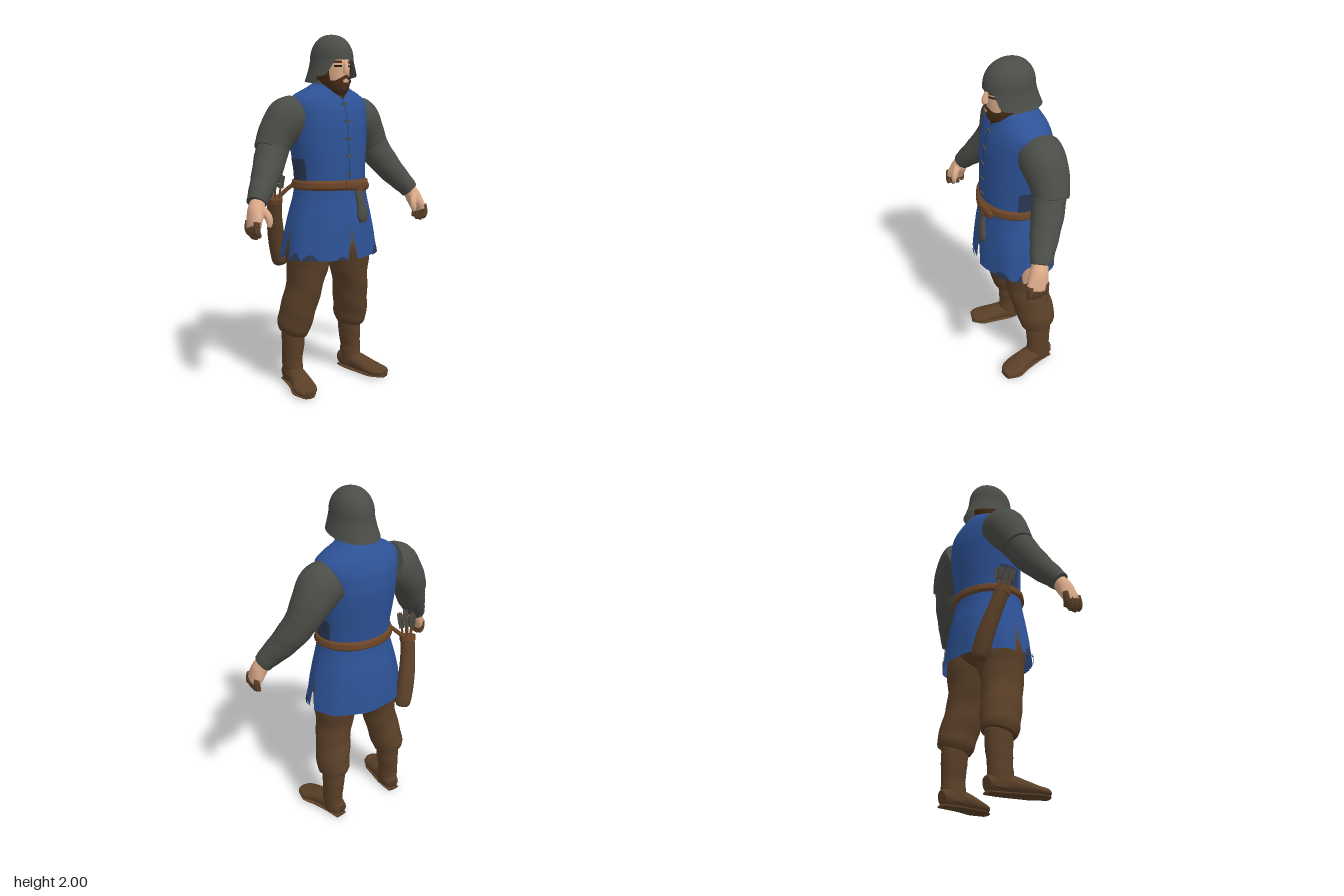
import * as THREE from 'three';
import { mergeVertices } from 'three/addons/utils/BufferGeometryUtils.js';

const PI = Math.PI;
const V = (x, y, z) => new THREE.Vector3(x, y, z);
const paint = (name, color, side = THREE.FrontSide) => {
  const m = new THREE.MeshStandardMaterial({ color, side });
  m.name = name;
  return m;
};

// Smooth blend through rows of numbers, t in 0..1
function blend(rows, t) {
  const f = t * (rows.length - 1), i = Math.min(Math.floor(f), rows.length - 2), k = f - i;
  const at = (j) => rows[Math.max(0, Math.min(rows.length - 1, j))];
  return rows[0].map((_, c) => {
    const a = at(i - 1)[c], b = at(i)[c], d = at(i + 1)[c], e = at(i + 2)[c];
    return b + 0.5 * k * (d - a + k * (2 * a - 5 * b + 4 * d - e + k * (3 * (b - d) + e - a)));
  });
}

// Smooth surface from a function of u, v in 0..1
function grid(f, nu, nv) {
  const pos = [], idx = [], w = nu + 1;
  for (let j = 0; j <= nv; j++) for (let i = 0; i <= nu; i++) pos.push(...f(i / nu, j / nv).toArray());
  for (let j = 0; j < nv; j++) for (let i = 0; i < nu; i++) {
    const a = j * w + i;
    idx.push(a, a + 1, a + w + 1, a, a + w + 1, a + w);
  }
  const g = new THREE.BufferGeometry();
  g.setAttribute('position', new THREE.Float32BufferAttribute(pos, 3));
  g.setIndex(idx);
  const m = mergeVertices(g, 1e-5);
  m.computeVertexNormals();
  return m;
}

// Capped limb through sections [x, y, z, radius across, radius along ref]
function loft(rows, ref = V(0, 0, 1), wrinkle = 0, nu = 20, nv = 22) {
  const centre = (t) => V(...blend(rows, t).slice(0, 3));
  return grid((u, v) => {
    const t = Math.max(0, Math.min(1, (v * nv - 1) / (nv - 2)));
    const r = blend(rows, t), cap = v === 0 || v === 1 ? 0 : 1, a = (u === 1 ? 0 : u) * 2 * PI;
    const T = centre(Math.min(1, t + 0.01)).sub(centre(Math.max(0, t - 0.01))).normalize();
    const P = T.clone().cross(ref).normalize(), Q = P.clone().cross(T);
    const k = cap * (1 + wrinkle * Math.sin(t * 26 + 2 * Math.sin(a)));
    return V(r[0], r[1], r[2]).addScaledVector(P, Math.sin(a) * r[3] * k).addScaledVector(Q, Math.cos(a) * r[4] * k);
  }, nu, nv);
}

// Upright body surface from rows [y, half width, front z, back z], lowest first
function body(rows) {
  return (a, y, off = 0) => {
    let i = 0;
    while (i < rows.length - 2 && y > rows[i + 1][0]) i++;
    const k = (y - rows[i][0]) / (rows[i + 1][0] - rows[i][0]);
    const [rx, zf, zb] = [1, 2, 3].map((c) => rows[i][c] + (rows[i + 1][c] - rows[i][c]) * k);
    return V((rx + off) * Math.sin(a), y, (zf + zb) / 2 + ((zf - zb) / 2 + off) * Math.cos(a));
  };
}
const patch = (s, a0, a1, y0, y1, off = 0, nu = 40, nv = 16) =>
  grid((u, v) => s(a0 + (a1 - a0) * u, y0 + (y1 - y0) * v, off), nu, nv);

export function createModel() {
  const model = new THREE.Group();
  const D = THREE.DoubleSide;
  const blue = paint('tunic blue', 0x2d5296, D), navy = paint('dark blue', 0x2b3a56, D);
  const grey = paint('dull grey', 0x4b4d48, D), brown = paint('leg brown', 0x5b4028, D);
  const leather = paint('belt leather', 0x6b4528, D), skin = paint('skin', 0xdcab8a, D);
  const hair = paint('hair brown', 0x4a2e1b, D), dark = paint('dark eye', 0x241a14, D);
  const add = (name, geo, mat, x = 0, y = 0, z = 0) => {
    const m = new THREE.Mesh(geo, mat);
    m.name = name;
    m.position.set(x, y, z);
    model.add(m);
    return m;
  };

  // Tunic body
  const torso = body([[1.15, .212, .2, -.157], [1.25, .215, .2, -.166], [1.4, .235, .192, -.183], [1.5, .243, .184, -.19],
    [1.59, .25, .165, -.178], [1.645, .245, .14, -.155], [1.675, .205, .122, -.138], [1.7, .15, .108, -.122],
    [1.725, .1, .1, -.105], [1.74, .08, .095, -.09]]);
  add('tunicBody', patch(torso, 0, 2 * PI, 1.15, 1.74, 0, 48, 30), blue);
  add('frontSeam', patch(torso, -.012, .012, 1.2, 1.64, .003, 2, 20), navy);
  for (let i = 0; i < 5; i++) {
    const y = 1.24 + i * .095;
    add('button', new THREE.BoxGeometry(.035, .011, .009), grey, 0, y, torso(0, y, .004).z);
  }
  for (const s of [-1, 1]) add('sideShade', patch(torso, s * PI / 2 - .35, s * PI / 2 + .35, 1.2, 1.32, .004, 10, 6), navy);

  // Skirt panels with slits at the front and sides
  const skirt = body([[.765, .3, .24, -.215], [.9, .277, .23, -.203], [1, .252, .22, -.19], [1.1, .225, .206, -.167], [1.19, .21, .2, -.157]]);
  const slit = (y) => Math.max(0, .95 - y) * .55;
  const panel = (a0, a1) => grid((u, v) => {
    const y = .765 + .425 * v, g = slit(y), a = a0 + g + (a1 - a0 - 2 * g) * u;
    return skirt(a, y, .004 * Math.sin(a * 9) * (1 - v));
  }, 28, 20);
  [[0, PI / 2], [PI / 2, 1.5 * PI], [1.5 * PI, 2 * PI]].forEach(([a, b]) => add('skirtPanel', panel(a, b), blue));
  add('underTunic', patch(skirt, 0, 2 * PI, .84, 1.15, -.018), grey);
  for (const [a, w, h] of [[.75, .22, .045], [-.9, .2, .035], [-.25, .12, .02], [1.25, .15, .05], [-1.25, .15, .04]]) {
    add('hemStain', grid((u, v) => skirt(a + (u - .5) * 2 * w, .766 + v * h * Math.sin(PI * u), .007), 12, 3), navy);
  }

  // Belt, knot and hanging horn
  add('belt', grid((u, v) => skirt(u * 2 * PI, 1.148 + .055 * v, .017 * Math.min(1, 5 * Math.sin(PI * v) + .1)), 48, 6), leather);
  add('beltKnot', loft([[-.035, 1.175, .212, .012, .026], [.03, 1.175, .222, .016, .03], [.1, 1.17, .212, .014, .028], [.13, 1.165, .2, .01, .02]], V(0, 1, 0)), leather);
  add('beltLoop', loft([[.045, 1.11, .226, .02, .012], [.06, 1.16, .222, .032, .014]]), leather);
  add('horn', loft([[.066, .965, .238, .02, .012], [.067, 1, .238, .036, .02], [.06, 1.07, .232, .028, .017], [.05, 1.14, .222, .026, .015]]), grey);

  // Neck and folded collar
  add('neck', loft([[0, 1.62, .01, .075, .07], [0, 1.7, .03, .07, .07], [0, 1.79, .04, .065, .07]]), skin);
  add('collar', grid((u, v) => {
    const a = u * 2 * PI, f = Math.pow((1 + Math.cos(a)) / 2, 4);
    const r = .112 - .026 * v;
    return V(r * Math.sin(a) * (1 - .2 * f), 1.69 + .062 * v - .04 * f, .008 + .012 * v + (r + .014 * f) * Math.cos(a));
  }, 36, 4), grey);
  const vee = new THREE.Shape([[-.045, 1.715], [0, 1.635], [.045, 1.715]].map((p) => new THREE.Vector2(...p)));
  const opening = add('neckOpening', new THREE.ShapeGeometry(vee), hair, 0, 0, .138);
  opening.rotation.x = 0;

  // Head, face and hair
  const head = body([[1.665, .02, .13, .05], [1.69, .05, .15, -.01], [1.73, .068, .157, -.035], [1.78, .078, .158, -.05],
    [1.83, .083, .16, -.06], [1.9, .083, .14, -.06]]);
  add('head', patch(head, 0, 2 * PI, 1.665, 1.9), skin);
  add('beard', patch(head, -1.45, 1.45, 1.662, 1.745, .009, 24, 8), hair);
  add('moustache', grid((u, v) => head((u - .5) * 1.5, 1.778 - .035 * Math.abs(u - .5) * 2 + (v - 1) * .02, .012), 14, 3), hair);
  add('mouth', patch(head, -.22, .22, 1.734, 1.75, .013, 6, 2), skin);
  add('hair', patch(head, 1.25, 2 * PI - 1.25, 1.67, 1.86, .012), hair);
  add('nose', loft([[0, 1.785, .166, .017, .02], [0, 1.8, .17, .016, .019], [0, 1.845, .158, .009, .01]], V(0, 0, 1), 0, 10, 8), skin);
  for (const s of [-1, 1]) {
    const piece = (name, y0, y1, off, mat) => add(name, patch(head, s * .48 - .24, s * .48 + .24, y0, y1, off, 6, 2), mat);
    piece('eye', 1.818, 1.829, .003, dark);
    piece('eyebrow', 1.838, 1.851, .006, hair);
    add('sideburn', patch(head, s * 1.2 - .18, s * 1.2 + .18, 1.72, 1.83, .008, 6, 6), hair);
  }

  // Helmet: round dome with a flared rim lifted over the face
  const dome = (a, v) => {
    const side = THREE.MathUtils.smoothstep(Math.abs(a), .55, 1.05), back = (1 - Math.cos(a)) / 2;
    const rim = 1.857 - side * (.075 + .04 * back);
    const up = Math.max(0, (v - .4) / .6) * PI / 2, low = Math.min(1, v / .4);
    const y = v < .4 ? rim + (1.865 - rim) * low : 1.865 + .135 * Math.sin(up);
    const r = v < .4 ? 1 + Math.pow((1.865 - y) / .12, 1.4) * .26 : Math.pow(Math.max(0, Math.cos(up)), .9);
    return V(.11 * r * Math.sin(a), y, .036 + .14 * r * Math.cos(a) - .01 * (1 - r) * (v > .4 ? 1 : 0));
  };
  add('helmet', grid((u, v) => dome((u - .5) * 2 * PI, v), 56, 26), grey);
  add('helmetLining', grid((u, v) => dome((u - .5) * 2 * PI, .02 + v * .4).multiply(V(.95, 1, 1)), 40, 4), grey);

  for (const s of [-1, 1]) {
    const m = (rows) => rows.map(([x, ...rest]) => [s * x, ...rest]);
    const side = s > 0 ? 'left' : 'right';

    // Arm: short outer sleeve, long inner sleeve, hand
    add(side + 'UpperSleeve', loft(m([[.19, 1.555, -.035, .115, .12], [.25, 1.53, -.035, .128, .122], [.31, 1.46, -.04, .11, .112],
      [.35, 1.395, -.035, .096, .1], [.367, 1.365, -.03, .09, .095]])), grey);
    add(side + 'Forearm', loft(m([[.335, 1.42, -.035, .088, .09], [.385, 1.32, -.005, .088, .088], [.45, 1.22, .045, .074, .078],
      [.51, 1.145, .088, .06, .064], [.54, 1.105, .108, .052, .055]]), undefined, .015), grey);
    add(side + 'Hand', loft(m([[.53, 1.12, .105, .036, .042], [.552, 1.07, .125, .044, .05], [.572, 1.02, .14, .034, .058],
      [.582, .985, .15, .027, .056]])), skin);
    for (let i = 0; i < 4; i++) {
      const z = .1 + i * .029, d = i === 0 || i === 3 ? .012 : 0;
      add(side + 'Finger', loft(m([[.583, 1.02, z, .02, .017], [.59, .975, z + .004, .019, .017], [.58, .94 + d, z + .006, .016, .015],
        [.572, .928 + d, z + .006, .008, .009]]), undefined, 0, 10, 10), brown);
    }
    add(side + 'Thumb', loft(m([[.54, 1.085, .14, .024, .026], [.513, 1.045, .172, .022, .02], [.506, 1.01, .182, .018, .016],
      [.512, .985, .184, .01, .01]]), undefined, 0, 10, 12), skin);

    // Leg: baggy trousers over a boot
    add(side + 'Trouser', loft(m([[.21, .318, -.062, .08, .098], [.205, .36, -.053, .092, .112], [.195, .43, -.038, .094, .115],
      [.178, .52, -.018, .095, .118], [.163, .61, -.004, .095, .124], [.15, .7, 0, .112, .136], [.142, .8, 0, .124, .146],
      [.12, .95, 0, .12, .15]]), undefined, .018, 24, 40), brown);
    add(side + 'BootShaft', loft(m([[.212, .03, -.06, .052, .074], [.214, .1, -.058, .054, .074], [.214, .16, -.06, .054, .072],
      [.208, .24, -.06, .06, .078], [.204, .34, -.06, .064, .08]]), undefined, .012), brown);
    add(side + 'BootFoot', loft(m([[.205, .05, -.137, .034, .04], [.207, .058, -.1, .048, .052], [.218, .06, -.02, .053, .054],
      [.235, .05, .06, .06, .043], [.256, .036, .13, .068, .031], [.27, .032, .175, .056, .026], [.275, .028, .2, .032, .016]]), V(0, 1, 0)), brown);
    add(side + 'Sole', loft(m([[.206, .01, -.135, .038, .01], [.215, .01, -.04, .05, .01], [.235, .01, .05, .058, .01],
      [.258, .01, .13, .068, .01], [.275, .01, .198, .035, .01]]), V(0, 1, 0)), brown);
  }
  const hips = add('hips', new THREE.SphereGeometry(1, 24, 16), brown, 0, .9, -.005);
  hips.scale.set(.2, .145, .15);

  // Quiver and arrows on the right hip
  add('quiver', loft([[-.205, .695, -.188, .036, .034], [-.215, .73, -.185, .05, .046], [-.25, .86, -.165, .05, .046], [-.283, .99, -.13, .044, .042],
    [-.3, 1.09, -.1, .042, .042]]), brown);
  add('quiverRim', loft([[-.298, 1.07, -.105, .046, .046], [-.302, 1.1, -.098, .047, .047]]), leather);
  add('quiverStrap', loft([[-.29, 1.08, -.1, .012, .012], [-.24, 1.13, -.09, .012, .012], [-.2, 1.17, -.06, .012, .012]], undefined, 0, 8, 8), leather);
  for (let i = 0; i < 6; i++) {
    const a = i / 6 * 2 * PI, arrow = new THREE.Group();
    arrow.name = 'arrow';
    arrow.position.set(-.3 + .024 * Math.cos(a), 1.08, -.095 + .024 * Math.sin(a));
    arrow.rotation.set(.1 + .12 * Math.sin(a), 0, .02 - .14 * Math.cos(a));
    const shaft = new THREE.Mesh(new THREE.CylinderGeometry(.005, .005, .15, 6), leather);
    shaft.name = 'arrowShaft';
    shaft.position.y = .075;
    arrow.add(shaft);
    for (let k = 0; k < 3; k++) {
      const vane = new THREE.Mesh(new THREE.BoxGeometry(.032, .065, .003), grey);
      vane.name = 'arrowFeather';
      vane.position.y = .105 + .008 * (i % 3);
      vane.rotation.y = k * PI / 3;
      arrow.add(vane);
    }
    model.add(arrow);
  }
  return model;
}
